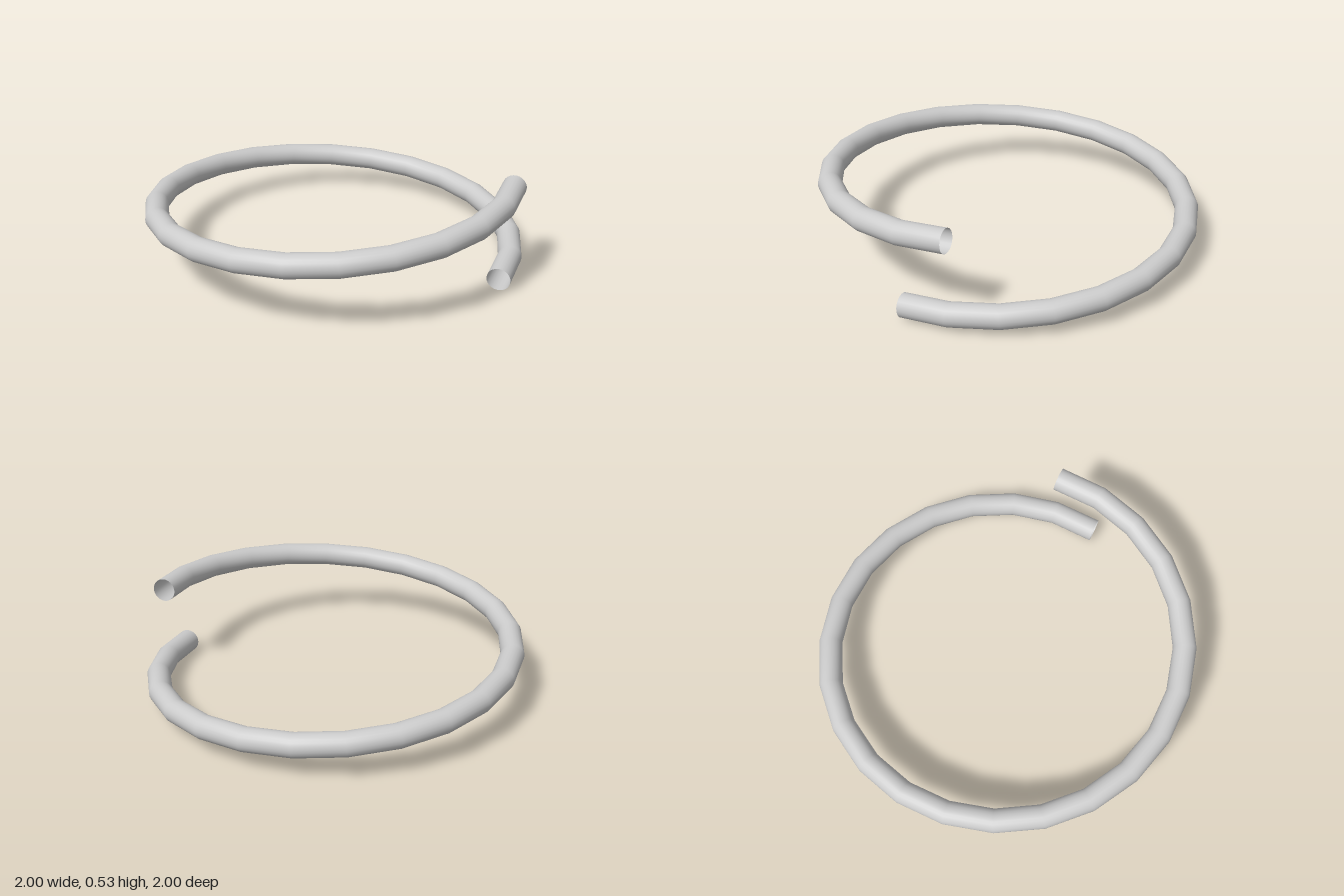
import * as THREE from 'three';

const R = 0.9385;        // coil radius
const TUBE = 0.0615;     // tube radius
const STEPS = 25;        // 24 straight pieces per turn, plus one
const RISE = 0.412;      // height gained along the coil

export function createModel() {
  const group = new THREE.Group();
  const material = new THREE.MeshStandardMaterial({ color: 0xcccccc, side: THREE.DoubleSide });

  // Helix path, starting at the left (+x) and turning towards the back
  const points = [];
  for (let i = 0; i <= STEPS; i++) {
    const a = (i / 24) * Math.PI * 2;
    points.push(new THREE.Vector3(R * Math.cos(a), TUBE + (RISE * i) / STEPS, -R * Math.sin(a)));
  }
  const path = new THREE.CatmullRomCurve3(points);

  // Open-ended coil tube
  const coil = new THREE.Mesh(new THREE.TubeGeometry(path, STEPS, TUBE, 24, false), material);
  coil.name = 'coil';
  group.add(coil);
  return group;
}
